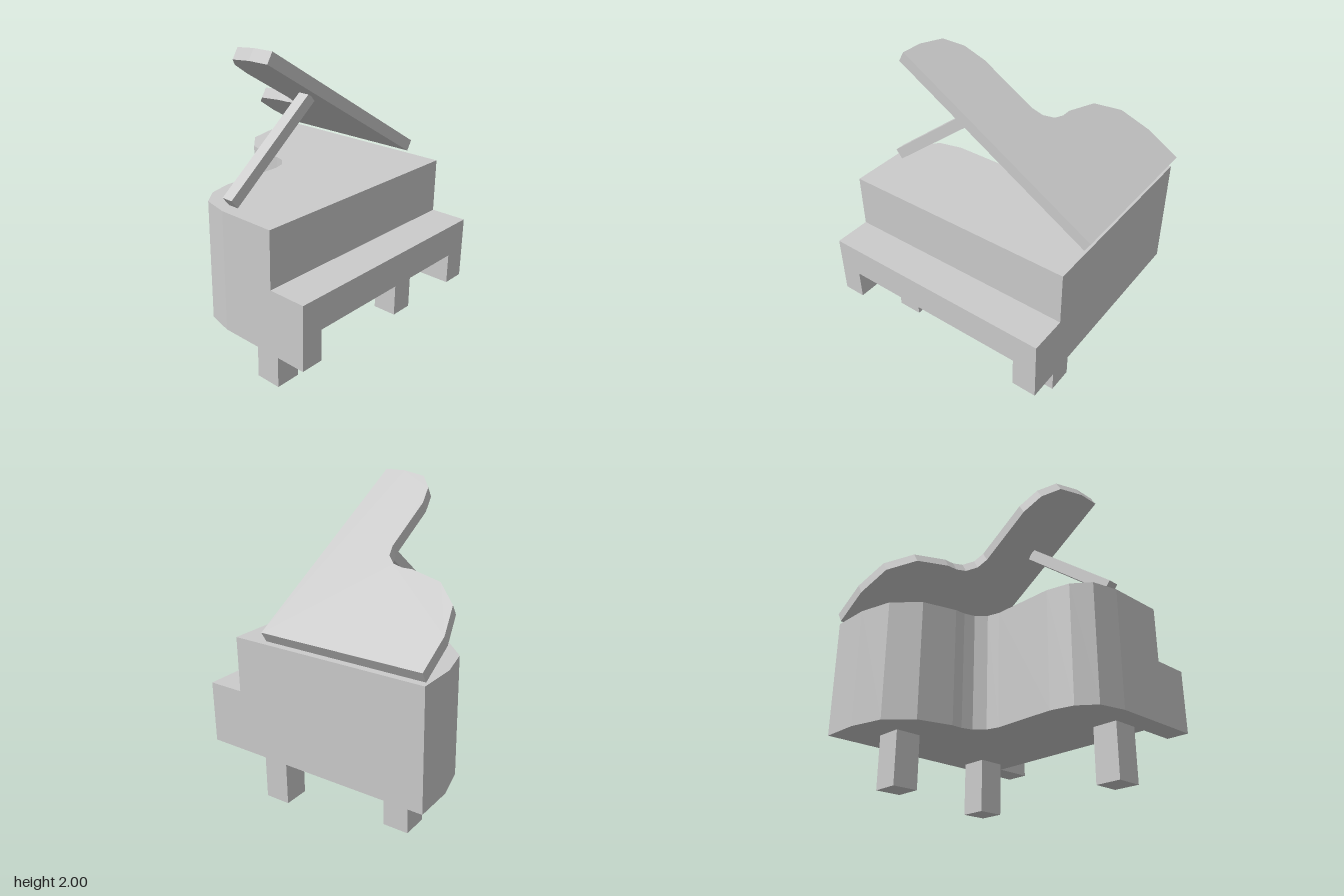
import * as THREE from 'three';

// Curved rim in plan (x, z), from the short left side round to the long straight side
const RIM = [
  [-0.8, 0.16], [-0.76, -0.01], [-0.65, -0.1], [-0.5, -0.137], [-0.08, -0.137],
  [0, -0.16], [0.06, -0.22], [0.08, -0.29], [0.08, -0.36], [0.14, -0.58],
  [0.29, -0.73], [0.51, -0.785], [0.77, -0.785],
];

// Plan outline closed by a straight front edge at the given z
function planShape(frontZ, dx = 0, scale = 1) {
  const points = [[-0.8, frontZ], ...RIM, [0.77, frontZ]];
  return new THREE.Shape(points.map(([x, z]) => new THREE.Vector2((x + dx) * scale, z)));
}

// Slab of a plan shape, hanging down from y = 0
function slab(shape, thickness) {
  return new THREE.ExtrudeGeometry(shape, { depth: thickness, bevelEnabled: false }).rotateX(Math.PI / 2);
}

export function createModel() {
  const group = new THREE.Group();
  const material = new THREE.MeshStandardMaterial({ color: 0xcccccc, flatShading: true });
  const add = (name, geometry, x, y, z) => {
    const mesh = new THREE.Mesh(geometry, material);
    mesh.name = name;
    mesh.position.set(x, y, z);
    group.add(mesh);
    return mesh;
  };

  // Curved case
  add('case', slab(planShape(0.54), 0.77), 0, 1.12, 0);

  // Keyboard ledge with the knee opening cut from its underside
  const ledge = new THREE.Shape([
    [-0.8, 0.35], [-0.65, 0.35], [-0.65, 0.55], [0.61, 0.55],
    [0.61, 0.35], [0.77, 0.35], [0.77, 0.76], [-0.8, 0.76],
  ].map(([x, y]) => new THREE.Vector2(x, y)));
  add('keyboardLedge', new THREE.ExtrudeGeometry(ledge, { depth: 0.245, bevelEnabled: false }), 0, 0, 0.54);

  // Raised lid, hinged along the straight side
  const lid = add('lid', slab(planShape(0.305, -0.77, 0.988), 0.076), 0.8, 1.204, 0);
  lid.rotation.z = -0.539;

  // Lid prop
  const from = new THREE.Vector2(-0.75, 1.157), to = new THREE.Vector2(-0.115, 1.66);
  const span = to.clone().sub(from);
  const prop = add('lidProp', new THREE.BoxGeometry(span.length(), 0.072, 0.075),
    (from.x + to.x) / 2, (from.y + to.y) / 2, 0.173);
  prop.rotation.z = span.angle();

  // Two front legs and one rear leg
  const legs = [['frontLegRight', -0.565, 0.355, 0], ['frontLegLeft', 0.597, 0.355, 0], ['rearLeg', 0.457, -0.467, 0.008]];
  for (const [name, x, z, foot] of legs) {
    const height = 0.36 - foot;
    add(name, new THREE.BoxGeometry(0.173, height, 0.173), x, foot + height / 2, z);
  }

  return group;
}
